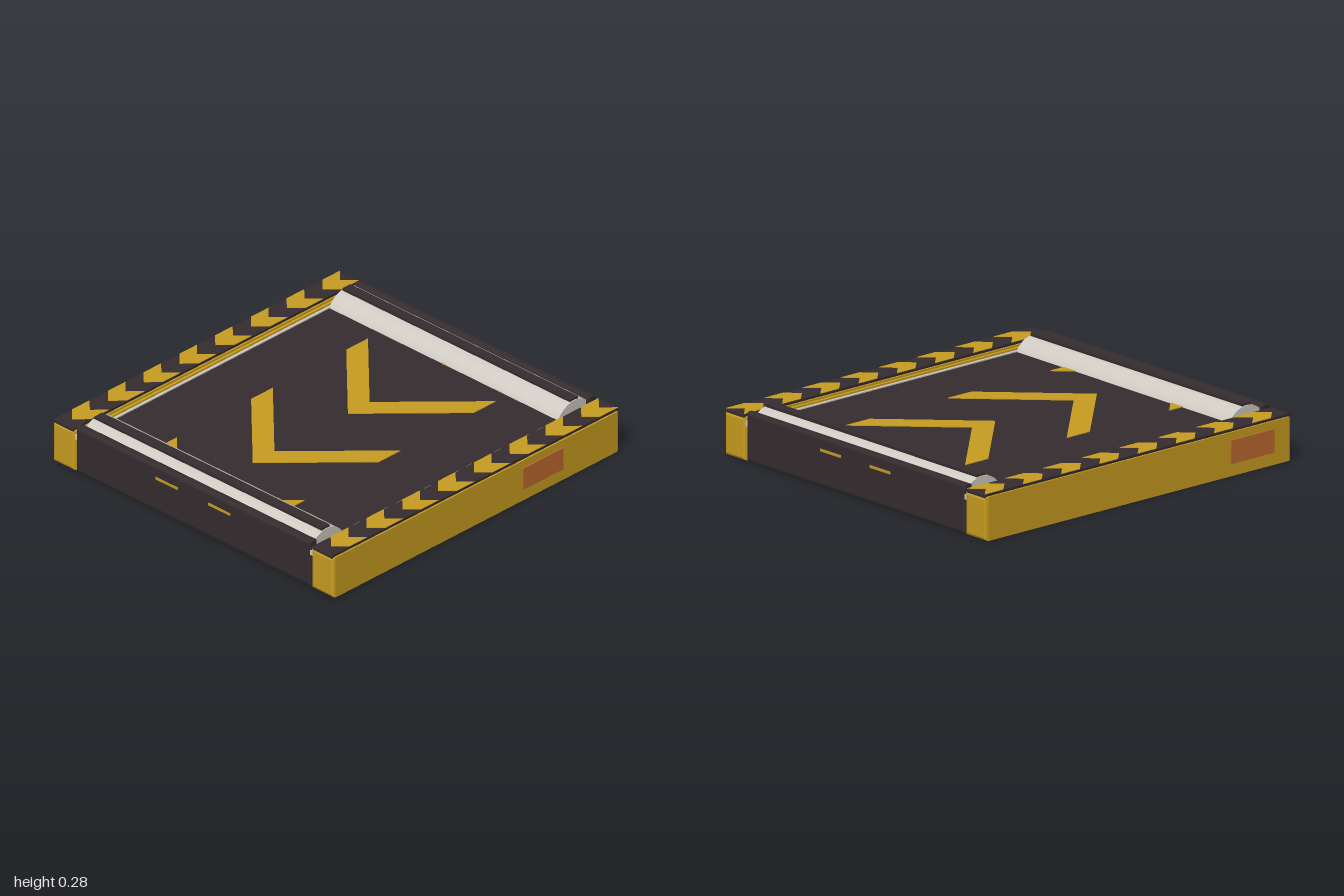
import * as THREE from 'three';

export function createModel() {
  const model = new THREE.Group();
  const paint = (name, color) => {
    const m = new THREE.MeshStandardMaterial({ color });
    m.name = name;
    return m;
  };
  const yellow = paint('safety yellow', 0xc99d21);
  const dark = paint('dark rubber', 0x352c2f);
  const silver = paint('light metal', 0xcfcac2);
  const orange = paint('orange panel', 0xbd6a2f);

  const add = (name, geometry, material, x = 0, y = 0, z = 0) => {
    const mesh = new THREE.Mesh(geometry, material);
    mesh.name = name;
    mesh.position.set(x, y, z);
    model.add(mesh);
    return mesh;
  };
  const box = (name, material, w, h, d, x, y, z) =>
    add(name, new THREE.BoxGeometry(w, h, d), material, x, y, z);

  // Box with chamfered edges, centred on its position
  const chamferBox = (name, material, w, h, d, c, x, y, z) => {
    const a = w / 2 - c, b = h / 2 - c;
    const shape = new THREE.Shape([[-a, -b], [a, -b], [a, b], [-a, b]].map(p => new THREE.Vector2(...p)));
    const geometry = new THREE.ExtrudeGeometry(shape, {
      depth: d - 2 * c, bevelThickness: c, bevelSize: c, bevelSegments: 2,
    });
    geometry.translate(0, 0, c - d / 2);
    return add(name, geometry, material, x, y, z);
  };

  // Thin painted plate lying flat, outlined by [x, z] points
  const flatPlate = (name, points, x, y, z) => {
    const shape = new THREE.Shape(points.map(p => new THREE.Vector2(p[0], -p[1])));
    const geometry = new THREE.ExtrudeGeometry(shape, { depth: 0.004, bevelEnabled: false });
    geometry.rotateX(-Math.PI / 2);
    return add(name, geometry, yellow, x, y, z);
  };
  // V shape pointing to +z, outer corners starting at z = 0
  const chevron = (half, thick) => [
    [-half, 0], [0, half], [half, 0], [half, thick], [0, half + thick], [-half, thick],
  ];

  // Belt bed
  box('belt', dark, 1.6, 0.2, 1.94, 0, 0.1, 0);
  for (const z of [-0.67, -0.005]) {
    flatPlate('beltArrow', chevron(0.435, 0.152), 0, 0.2, z);
  }
  // Arrow pieces running under the rollers
  for (const s of [-1, 1]) {
    flatPlate('beltArrowCorner', [[s * 0.435, 0.665], [s * 0.435, 0.765], [s * 0.335, 0.765]], 0, 0.2, 0);
  }
  flatPlate('beltArrowTip', [[-0.02, -0.765], [0.02, -0.765], [0, -0.745]], 0, 0.2, 0);

  // Both ends: roller, grip bar, end block and marker dashes
  for (const s of [-1, 1]) {
    const roller = new THREE.CylinderGeometry(0.128, 0.128, 1.56, 48);
    roller.rotateZ(Math.PI / 2);
    add('roller', roller, silver, 0, 0.14, s * 0.865);
    box('rollerGrip', dark, 1.55, 0.02, 0.055, 0, 0.268, s * 0.867);
    chamferBox('endBlock', dark, 1.6, 0.253, 0.05, 0.014, 0, 0.1265, s * 0.973);
    for (const x of [-0.18, 0.18]) {
      box('endDash', yellow, 0.15, 0.014, 0.006, x, 0.187, s * 0.998);
    }
  }

  // Both sides: rail, inner trim and striped cap
  for (const s of [-1, 1]) {
    chamferBox('sideRail', yellow, 0.152, 0.225, 2, 0.016, s * 0.881, 0.1125, 0);
    box('railLip', yellow, 0.04, 0.03, 1.9, s * 0.81, 0.2, 0);
    box('innerTrim', silver, 0.035, 0.028, 1.99, s * 0.793, 0.192, 0);
    chamferBox('railCap', dark, 0.133, 0.02, 2, 0.004, s * 0.881, 0.228, 0);
    for (let i = 0; i < 8; i++) {
      flatPlate('railStripe', chevron(0.0655, 0.123), s * 0.881, 0.2365, -0.999 + i * 0.25);
    }
  }

  // Service panels on the outer faces
  box('sidePanel', orange, 0.009, 0.12, 0.28, 0.96, 0.125, -0.46);
  box('sidePanel', orange, 0.009, 0.12, 0.28, -0.96, 0.125, 0.74);

  return model;
}
